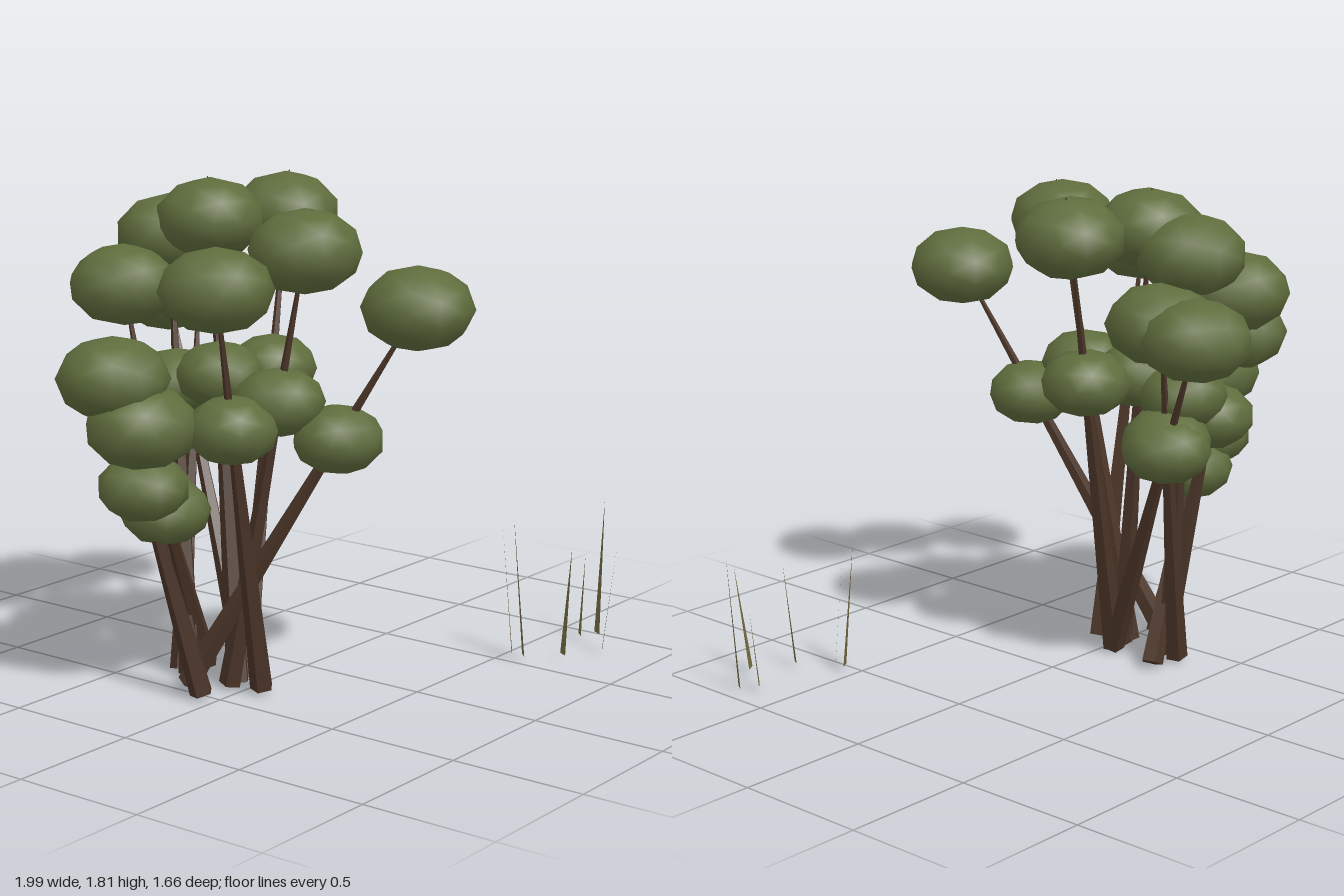
import * as THREE from 'three';

const bark = new THREE.MeshStandardMaterial({ color: 0x4b3528, flatShading: true });
bark.name = 'bark brown';
const leaf = new THREE.MeshStandardMaterial({ color: 0x5f6d3d });
leaf.name = 'leaf green';
const straw = new THREE.MeshStandardMaterial({ color: 0x756c42, side: THREE.DoubleSide });
straw.name = 'dry grass';

// Each stem: base x, base z, then crown centre x, y, z
const STEMS = [
  [-0.29, -0.05, 0.12, 1.66, -0.19],
  [-0.35, -0.04, -0.20, 1.66, -0.28],
  [-0.38, -0.05, -0.37, 1.61, 0.28],
  [-0.35, 0.07, -0.67, 1.50, 0.14],
  [-0.47, -0.17, -0.16, 1.42, 0.60],
  [-0.38, -0.24, -0.20, 1.59, -0.47],
  [-0.38, -0.22, -0.43, 1.43, -0.49],
  [-0.36, -0.30, -0.04, 1.37, -0.47],
  [-0.29, -0.05, -0.02, 1.34, -0.64],
  [-0.53, -0.06, -0.80, 1.18, -0.21],
  [-0.24, -0.28, -0.77, 1.02, -0.11],
];

// Each blade: base x, base z, tip x, y, z
const BLADES = [
  [0.54, 0.55, 0.52, 0.49, 0.515],
  [0.54, 0.60, 0.515, 0.55, 0.565],
  [0.64, 0.71, 0.69, 0.42, 0.71],
  [0.79, 0.79, 0.83, 0.42, 0.82],
  [0.89, 0.63, 0.935, 0.32, 0.62],
  [0.95, 0.67, 1.0, 0.53, 0.66],
];

const UP = new THREE.Vector3(0, 1, 0);

// Tapered stem running from base to tip
function makeStem(base, tip) {
  const dir = tip.clone().sub(base);
  const length = dir.length();
  const geo = new THREE.CylinderGeometry(0.002, 0.043, length, 5);
  geo.translate(0, length / 2, 0);
  const mesh = new THREE.Mesh(geo, bark);
  mesh.name = 'stem';
  mesh.position.copy(base);
  mesh.quaternion.setFromUnitVectors(UP, dir.normalize());
  return mesh;
}

// Flattened faceted clump of leaves
function makeClump(name, centre, radius, height, turn) {
  const geo = new THREE.IcosahedronGeometry(1, 1);
  geo.rotateY(turn);
  geo.scale(radius, height, radius);
  const mesh = new THREE.Mesh(geo, leaf);
  mesh.name = name;
  mesh.position.copy(centre);
  return mesh;
}

// Flat pointed blade
function makeBlade([bx, bz, tx, ty, tz], i) {
  const a = Math.PI / 4 + 0.25 * (i % 3 - 1);
  const dx = 0.02 * Math.cos(a), dz = -0.02 * Math.sin(a);
  const geo = new THREE.BufferGeometry();
  geo.setAttribute('position', new THREE.Float32BufferAttribute([
    bx - dx, 0.02, bz - dz, bx + dx, 0.02, bz + dz, tx, ty, tz], 3));
  geo.computeVertexNormals();
  const mesh = new THREE.Mesh(geo, straw);
  mesh.name = 'grassBlade';
  return mesh;
}

export function createModel() {
  const model = new THREE.Group();
  model.name = 'shrubAndGrass';

  const shrub = new THREE.Group();
  shrub.name = 'shrub';
  STEMS.forEach(([bx, bz, x, y, z], i) => {
    const base = new THREE.Vector3(bx, 0.02, bz);
    const top = new THREE.Vector3(x, y, z);
    const branch = new THREE.Group();
    branch.name = 'branch';
    branch.add(
      makeStem(base, base.clone().lerp(top, 1.09)),
      makeClump('crownClump', top, 0.198, 0.147, i * 1.3),
      makeClump('lowerClump', base.clone().lerp(top, 0.665), 0.163, 0.122, i * 1.7 + 0.5),
    );
    shrub.add(branch);
  });

  const grass = new THREE.Group();
  grass.name = 'grass';
  BLADES.forEach((b, i) => grass.add(makeBlade(b, i)));

  model.add(shrub, grass);
  return model;
}
